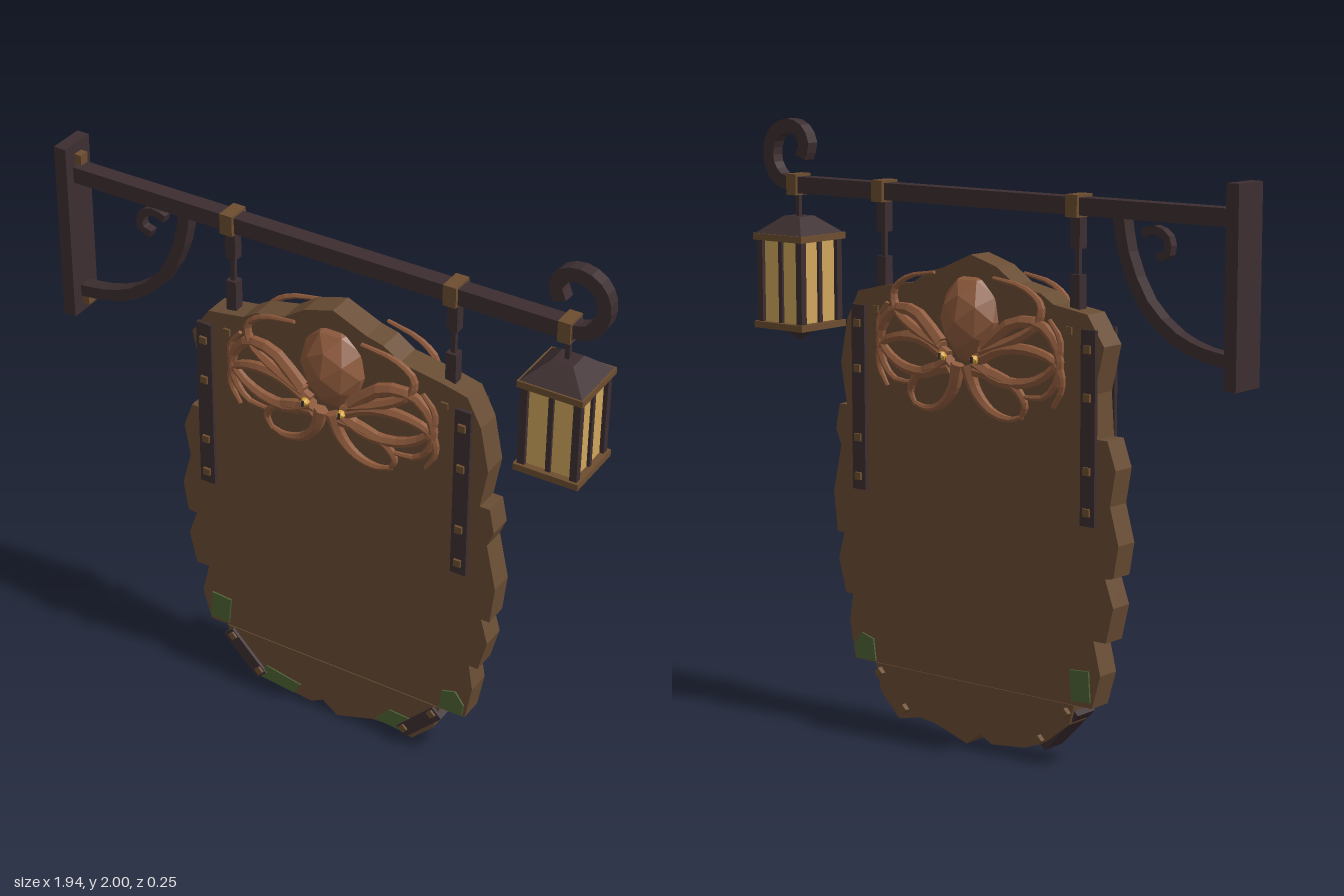
import * as THREE from 'three';

const mat = (name, color) => {
  const m = new THREE.MeshStandardMaterial({ color, flatShading: true });
  m.name = name;
  return m;
};

export function createModel() {
  const root = new THREE.Group();
  root.name = 'hangingSign';
  const wood = mat('wood', 0x694d34), iron = mat('darkIron', 0x3d2e30), brass = mat('agedBrass', 0x6d4e30);
  const copper = mat('copper', 0x8e5a3c), glass = mat('lanternGlass', 0xcfa65c);
  const moss = mat('moss', 0x4e6234), gold = mat('goldEye', 0xd9a63c);

  const add = (name, geo, material, x = 0, y = 0, z = 0, parent = root) => {
    const m = new THREE.Mesh(geo, material);
    m.name = name;
    m.position.set(x, y, z);
    parent.add(m);
    return m;
  };
  const box = (name, material, w, h, d, x, y, z = 0, parent = root) =>
    add(name, new THREE.BoxGeometry(w, h, d), material, x, y, z, parent);

  // Sweep an n-sided section along a path; half width and half depth may taper
  const sweep = (pts, steps, sides, halfW, halfD, tip = 1) => {
    const curve = new THREE.CatmullRomCurve3(pts.map(p => new THREE.Vector3(p[0], p[1], p[2] || 0)));
    const pos = [], idx = [], off = Math.PI / sides;
    const k = sides === 4 ? Math.SQRT2 : 1;
    for (let i = 0; i <= steps; i++) {
      const t = i / steps, p = curve.getPoint(t), d = curve.getTangent(t).setZ(0).normalize();
      const s = k * (1 + (tip - 1) * t);
      for (let j = 0; j < sides; j++) {
        const a = off + j * 2 * Math.PI / sides, u = Math.cos(a) * halfW * s;
        pos.push(p.x - d.y * u, p.y + d.x * u, p.z + Math.sin(a) * halfD * s);
      }
    }
    for (let i = 0; i < steps; i++) for (let j = 0; j < sides; j++) {
      const a = i * sides + j, b = i * sides + (j + 1) % sides;
      idx.push(a, b, a + sides, b, b + sides, a + sides);
    }
    for (let j = 1; j < sides - 1; j++) {
      const e = steps * sides;
      idx.push(0, j + 1, j, e, e + j, e + j + 1);
    }
    const g = new THREE.BufferGeometry();
    g.setAttribute('position', new THREE.Float32BufferAttribute(pos, 3));
    g.setIndex(idx);
    g.computeVertexNormals();
    return g;
  };
  const plate = (pts, depth) => {
    const s = new THREE.Shape(pts.map(p => new THREE.Vector2(p[0], p[1])));
    return new THREE.ExtrudeGeometry(s, { depth, bevelEnabled: false }).translate(0, 0, -depth / 2);
  };

  // Ragged wooden board: thicker top and bottom planks, thinner middle
  add('boardTop', plate([[0.05, 1.607], [0.17, 1.555], [0.23, 1.54], [0.29, 1.50], [0.44, 1.475], [0.525, 1.455],
    [0.575, 1.36], [0.605, 1.21], [0.58, 1.07], [-0.45, 1.07], [-0.44, 1.21], [-0.475, 1.36], [-0.41, 1.455],
    [-0.28, 1.475], [-0.23, 1.505], [-0.125, 1.527], [-0.055, 1.575]], 0.09), wood);
  add('boardMiddle', plate([[0.615, 1.07], [0.632, 0.985], [0.61, 0.93], [0.645, 0.77], [0.63, 0.635], [0.60, 0.635],
    [0.625, 0.545], [0.595, 0.43], [0.563, 0.43], [0.578, 0.335], [0.555, 0.21], [-0.435, 0.21], [-0.467, 0.32],
    [-0.44, 0.43], [-0.488, 0.43], [-0.515, 0.545], [-0.483, 0.635], [-0.515, 0.64], [-0.533, 0.745], [-0.50, 0.865],
    [-0.52, 0.98], [-0.488, 1.07]], 0.084), wood);
  add('boardBottom', plate([[-0.367, 0.21], [-0.35, 0.145], [-0.255, 0.07], [-0.175, 0.035], [-0.035, 0.02],
    [0.012, 0.045], [0.07, 0.003], [0.205, 0.047], [0.27, 0.055], [0.36, 0.035], [0.44, 0.115], [0.462, 0.21]], 0.09), wood);

  // Iron straps with rivets on both faces
  for (const x of [-0.423, 0.518]) for (const s of [1, -1]) {
    box('sideStrap', iron, 0.055, 0.615, 0.014, x, 1.1025, s * 0.051);
    for (const y of [1.35, 1.2, 0.97, 0.84]) box('strapRivet', brass, 0.025, 0.025, 0.012, x, y, s * 0.061);
  }

  // Bottom corner brackets
  for (const s of [1, -1]) {
    const b = new THREE.Group();
    b.name = 'cornerBracket';
    b.position.set(0.049 + s * 0.342, 0.123, 0);
    b.rotation.z = s * 0.8;
    root.add(b);
    box('bracketPlate', iron, 0.19, 0.048, 0.092, 0, 0, 0.01, b);
    for (const x of [-0.075, 0.075]) box('bracketRivet', brass, 0.024, 0.024, 0.126, x, 0.008, 0, b);
  }

  // Moss: upper patches show on both faces, lower ones on the front
  const mossPatch = (pts, both) => {
    for (const s of both ? [1, -1] : [1]) add('mossPatch', plate(pts, 0.006), moss, 0, 0, s * 0.0465);
  };
  mossPatch([[-0.425, 0.33], [-0.35, 0.325], [-0.36, 0.225], [-0.432, 0.23]], true);
  mossPatch([[0.47, 0.29], [0.52, 0.305], [0.552, 0.26], [0.545, 0.215], [0.46, 0.215]], true);
  mossPatch([[-0.21, 0.10], [-0.075, 0.075], [-0.10, 0.03], [-0.24, 0.045]], false);
  mossPatch([[0.275, 0.12], [0.35, 0.115], [0.32, 0.05], [0.22, 0.06]], false);

  // Wall plate, beam and brace
  box('wallPlate', iron, 0.044, 0.615, 0.126, -0.948, 1.58);
  box('beam', iron, 1.78, 0.055, 0.056, -0.04, 1.782);
  for (const y of [1.835, 1.32]) box('plateBolt', brass, 0.026, 0.035, 0.035, -0.914, y);
  add('curvedBrace', sweep([[-0.508, 1.765], [-0.53, 1.65], [-0.605, 1.50], [-0.72, 1.405], [-0.825, 1.367],
    [-0.93, 1.352]], 10, 4, 0.02, 0.024), iron);
  add('braceScroll', sweep([[-0.59, 1.715], [-0.635, 1.728], [-0.68, 1.705], [-0.683, 1.66], [-0.645, 1.645]],
    8, 4, 0.013, 0.015), iron);

  // Curled beam end
  add('beamHook', sweep([[0.84, 1.782], [0.90, 1.797], [0.938, 1.845], [0.942, 1.905], [0.915, 1.954], [0.86, 1.976],
    [0.81, 1.962], [0.784, 1.92], [0.80, 1.873]], 16, 4, 0.023, 0.022), iron);

  // Board hangers
  for (const x of [-0.341, 0.449]) {
    box('beamCollar', brass, 0.045, 0.07, 0.08, x, 1.783);
    box('upperLink', iron, 0.036, 0.10, 0.036, x, 1.70);
    box('linkRod', iron, 0.015, 0.13, 0.015, x, 1.61);
    box('lowerLink', iron, 0.036, 0.12, 0.036, x, 1.51);
    box('hangerBolt', brass, 0.024, 0.024, 0.104, x, 1.40);
  }

  // Lantern
  const lantern = new THREE.Group();
  lantern.name = 'lantern';
  lantern.position.set(0.828, 0, 0);
  root.add(lantern);
  const frustum = (name, top, bottom, h, y) => add(name, new THREE.CylinderGeometry(top * Math.SQRT2,
    bottom * Math.SQRT2, h, 4).rotateY(Math.PI / 4), iron, 0, y, 0, lantern);
  box('lanternCollar', brass, 0.042, 0.07, 0.075, 0, 1.783, 0, lantern);
  box('lanternRod', iron, 0.015, 0.10, 0.015, 0, 1.71, 0, lantern);
  frustum('lanternRoof', 0.036, 0.108, 0.06, 1.647);
  box('upperRim', brass, 0.218, 0.022, 0.218, 0, 1.61, 0, lantern);
  box('lanternPane', glass, 0.172, 0.28, 0.172, 0, 1.46, 0, lantern);
  box('lowerRim', brass, 0.218, 0.022, 0.218, 0, 1.315, 0, lantern);
  frustum('lanternFinial', 0.05, 0.002, 0.045, 1.283);
  for (let i = 0; i < 4; i++) {
    const side = new THREE.Group();
    side.name = 'lanternSide';
    side.rotation.y = i * Math.PI / 2;
    lantern.add(side);
    box('cornerPost', iron, 0.024, 0.28, 0.024, 0.088, 1.46, 0.088, side);
    box('middleBar', iron, 0.016, 0.28, 0.014, 0, 1.46, 0.088, side);
  }

  // Copper octopus on both faces
  const octopus = new THREE.Group();
  octopus.name = 'octopus';
  octopus.position.set(0.052, 1.4, 0);
  root.add(octopus);
  const head = new THREE.IcosahedronGeometry(1, 1).scale(0.127, 0.158, 0.125);
  const hp = head.attributes.position;
  for (let i = 0; i < hp.count; i++) {
    const y = hp.getY(i);
    if (y < 0) hp.setX(i, hp.getX(i) * (1 + y * 1.5));
  }
  head.computeVertexNormals();
  add('octopusHead', head, copper, 0, 0, 0, octopus);

  // Arm paths on one quarter: outline points plus half width at the root
  const arms = [
    [[[0.08, -0.09], [0.20, -0.045], [0.285, 0.01], [0.30, 0.07], [0.24, 0.12], [0.12, 0.145]], 0.021],
    [[[0.09, -0.08], [0.20, 0.01], [0.30, 0.01], [0.36, -0.06], [0.362, -0.15], [0.31, -0.215], [0.23, -0.222]], 0.025],
    [[[0.06, -0.12], [0.16, -0.075], [0.28, -0.075], [0.36, -0.11], [0.375, -0.18], [0.34, -0.245]], 0.024],
    [[[0.05, -0.13], [0.15, -0.18], [0.27, -0.17], [0.355, -0.11], [0.37, -0.03], [0.33, 0.03]], 0.024],
    [[[0.05, -0.15], [0.13, -0.165], [0.20, -0.195], [0.235, -0.25], [0.215, -0.295]], 0.025],
    [[[0.02, -0.14], [0.045, -0.22], [0.10, -0.28], [0.17, -0.30], [0.225, -0.285]], 0.024],
  ];
  for (const sz of [1, -1]) for (const sx of [1, -1]) {
    for (const [path, r] of arms) {
      const pts = path.map(([x, y]) => [x * sx, y, sz * (0.098 - 0.1 * Math.hypot(x, y))]);
      add('octopusArm', sweep(pts, 14, 6, r, 0.023, 0.3), copper, 0, 0, 0, octopus);
    }
    add('octopusEye', new THREE.IcosahedronGeometry(0.016, 0), gold, sx * 0.066, -0.115, sz * 0.106, octopus);
    box('octopusPupil', iron, 0.007, 0.02, 0.006, sx * 0.066, -0.115, sz * 0.12, octopus);
  }
  return root;
}
